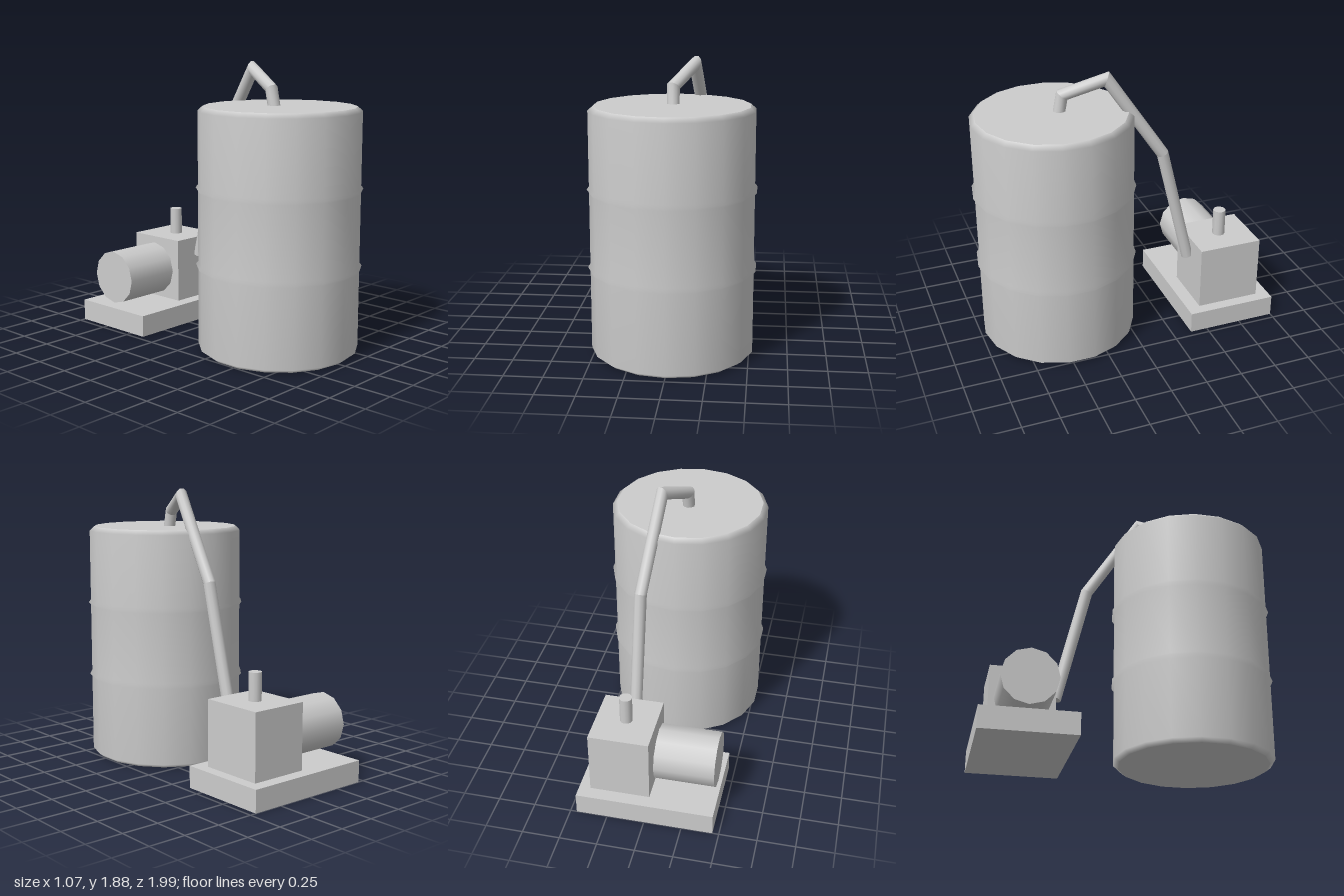
import * as THREE from 'three';

const steel = new THREE.MeshStandardMaterial({ color: 0xcccccc });
steel.name = 'grey steel';

function part(name, geometry, x = 0, y = 0, z = 0) {
  const mesh = new THREE.Mesh(geometry, steel);
  mesh.name = name;
  mesh.position.set(x, y, z);
  return mesh;
}

// Straight pipe runs with mitred joints: each ring slides along its run to the next joint plane.
function mitredPipe(points, radius, sides) {
  const group = new THREE.Group();
  const dirs = points.slice(1).map((p, i) => p.clone().sub(points[i]).normalize());
  const u = new THREE.Vector3(1, 0, 0).cross(dirs[0]).normalize();
  const v = dirs[0].clone().cross(u);
  let ring = Array.from({ length: sides }, (_, i) => {
    const a = (i / sides) * Math.PI * 2;
    return points[0].clone().addScaledVector(u, radius * Math.cos(a)).addScaledVector(v, radius * Math.sin(a));
  });

  const cap = (name, centre, loop, flip) => {
    const index = [];
    for (let i = 0; i < sides; i++) {
      const a = i + 1, b = ((i + 1) % sides) + 1;
      index.push(0, flip ? b : a, flip ? a : b);
    }
    const g = new THREE.BufferGeometry().setFromPoints([centre, ...loop]);
    g.setIndex(index);
    g.computeVertexNormals();
    group.add(part(name, g));
  };

  cap('pipeInletCap', points[0], ring, true);
  dirs.forEach((d, k) => {
    const end = points[k + 1];
    const plane = d.clone().add(dirs[k + 1] ?? d).normalize();
    const next = ring.map((p) =>
      p.clone().addScaledVector(d, end.clone().sub(p).dot(plane) / d.dot(plane)));
    const index = [];
    for (let i = 0; i < sides; i++) {
      const j = (i + 1) % sides;
      index.push(i, j, sides + i, j, sides + j, sides + i);
    }
    const g = new THREE.BufferGeometry().setFromPoints([...ring, ...next]);
    g.setIndex(index);
    g.computeVertexNormals();
    group.add(part('pipeRun' + (k + 1), g));
    ring = next;
  });
  cap('pipeOutletCap', points[points.length - 1], ring, false);
  return group;
}

export function createModel() {
  const model = new THREE.Group();

  // Drum: chamfered ends and two rolled ribs
  const drum = new THREE.Group();
  drum.name = 'drum';
  drum.position.z = 0.447;
  const R = 0.53, capR = 0.497, H = 1.615, sides = 18;
  const profile = [[capR, 0], [R, 0.025]];
  for (const y of [0.57, 1.083]) profile.push([R, y - 0.018], [0.545, y], [R, y + 0.018]);
  profile.push([R, H - 0.03], [capR, H]);
  drum.add(part('drumWall', new THREE.LatheGeometry(profile.map(([r, y]) => new THREE.Vector2(r, y)), sides)));
  const lid = new THREE.CircleGeometry(capR, sides, Math.PI / 2);
  drum.add(part('drumLid', lid.clone().rotateX(-Math.PI / 2), 0, H, 0));
  drum.add(part('drumBottom', lid.clone().rotateX(Math.PI / 2)));
  model.add(drum);

  // Pump unit on its plinth
  const pump = new THREE.Group();
  pump.name = 'pump';
  pump.add(part('plinth', new THREE.BoxGeometry(0.915, 0.147, 0.62), 0, 0.0735, -0.69));
  pump.add(part('pumpBody', new THREE.BoxGeometry(0.4, 0.445, 0.44), 0.182, 0.3675, -0.692));
  pump.add(part('motor', new THREE.CylinderGeometry(0.185, 0.185, 0.4, 12).rotateZ(Math.PI / 2), -0.238, 0.365, -0.693));
  pump.add(part('outlet', new THREE.CylinderGeometry(0.043, 0.043, 0.19, 12), 0.182, 0.68, -0.69));
  model.add(pump);

  // Suction pipe from the lid to the pump body
  const path = [[0, 1.56, 0.407], [0, 1.72, 0.375], [0.118, 1.835, 0.115], [0.182, 1.285, -0.25], [0.182, 0.46, -0.452]];
  const pipe = mitredPipe(path.map((p) => new THREE.Vector3(...p)), 0.041, 10);
  pipe.name = 'suctionPipe';
  model.add(pipe);

  return model;
}
